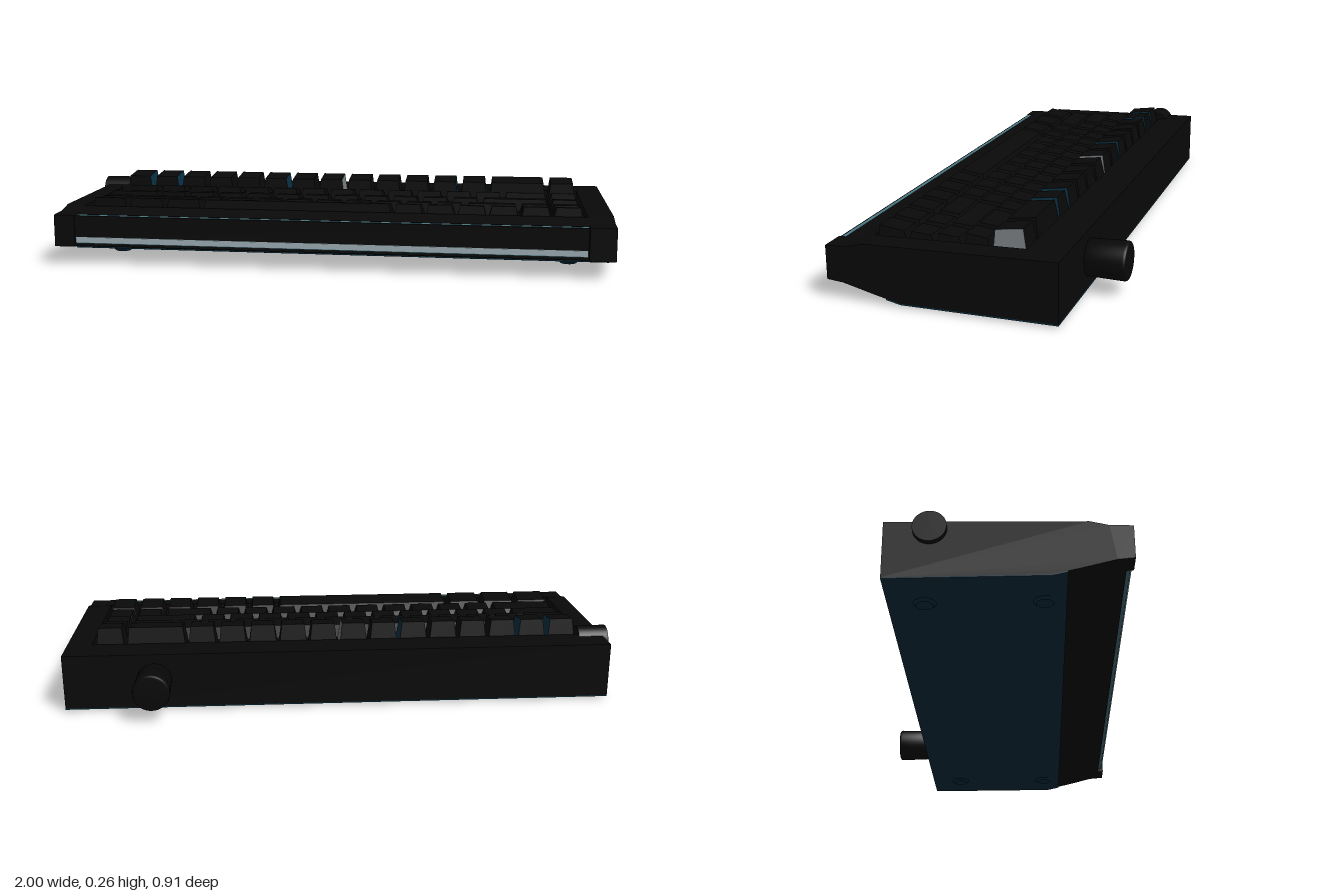
import * as THREE from 'three';

export function createModel() {
  const model = new THREE.Group();
  const mat = (name, color) => {
    const m = new THREE.MeshStandardMaterial({ color });
    m.name = name;
    return m;
  };
  const black = mat('matte black', 0x090909);
  const blue = mat('deep blue', 0x0a3245);
  const teal = mat('teal light', 0x4a7884);
  const pale = mat('pale light', 0xa4b6bf);
  const grey = mat('accent grey', 0x7c8284);

  const add = (name, geometry, material, x = 0, y = 0, z = 0, parent = model) => {
    const mesh = new THREE.Mesh(geometry, material);
    mesh.name = name;
    mesh.position.set(x, y, z);
    parent.add(mesh);
    return mesh;
  };

  // Extrudes a [z, y] side profile from x0 to x1
  const sweep = (points, x0, x1) => {
    const shape = new THREE.Shape(points.map(([z, y]) => new THREE.Vector2(z, y)));
    const g = new THREE.ExtrudeGeometry(shape, { depth: x1 - x0, bevelEnabled: false });
    g.rotateY(-Math.PI / 2);
    return g.translate(x1, 0, 0);
  };

  // Case: two full-height ends and a middle with a sunken key well
  const under = [[-0.32, 0.012], [0.2, 0.012], [0.28, 0.03], [0.4, 0.06]];
  const endProfile = [...under, [0.455, 0.065], [0.455, 0.18], [0.38, 0.183],
    [0.32, 0.198], [-0.32, 0.211]];
  const midProfile = [...under, [0.432, 0.064], [0.432, 0.18], [0.38, 0.183],
    [0.33, 0.195], [0.33, 0.175], [-0.19, 0.175], [-0.19, 0.208], [-0.32, 0.211]];
  add('caseRightEnd', sweep(endProfile, -0.98, -0.905), black);
  add('caseLeftEnd', sweep(endProfile, 0.91, 1), black);
  add('caseMiddle', sweep(midProfile, -0.905, 0.91), black);

  // Bottom plate follows the flat underside and the start of the slope
  add('bottomPlate', sweep([[-0.32, 0.008], [0.2, 0.008], [0.25, 0.019],
    [0.25, 0.0235], [0.2, 0.0125], [-0.32, 0.0125]], -0.98, 1), blue);

  // Low domed feet
  for (const x of [-0.82, 0.86]) {
    for (const z of [-0.2, 0.18]) {
      add('foot', new THREE.CylinderGeometry(0.042, 0.028, 0.012, 24), blue, x, 0.006, z);
    }
  }

  // Light bar in the front recess with a black cover and a pale lower strip
  add('lightBar', new THREE.BoxGeometry(1.81, 0.103, 0.014), teal, 0.002, 0.1275, 0.439);
  add('lightBarCover', new THREE.BoxGeometry(1.812, 0.077, 0.006), black, 0.002, 0.1395, 0.449);
  add('lightStrip', new THREE.BoxGeometry(1.81, 0.02, 0.004), pale, 0.002, 0.09, 0.448);

  // Rounded round plug on the back
  const plugProfile = [[0, 0], [0.0625, 0], [0.066, 0.125], [0.064, 0.132], [0.059, 0.135], [0, 0.135]]
    .map(([r, h]) => new THREE.Vector2(r, h));
  const plug = add('rearPlug', new THREE.LatheGeometry(plugProfile, 40), black, 0.678, 0.115, -0.32);
  plug.rotation.x = -Math.PI / 2;

  // Volume roller set into the right end
  const roller = add('volumeRoller', new THREE.CylinderGeometry(0.054, 0.054, 0.11, 36), black,
    -0.945, 0.181, -0.174);
  roller.rotation.z = Math.PI / 2;

  // Tapered keycap with a sloped top
  const base = 0.172;
  const keyGeometry = (w, d, front, back) => {
    const g = new THREE.BoxGeometry(w, 1, d, 1, 1, 1);
    const p = g.attributes.position;
    for (let i = 0; i < p.count; i++) {
      const x = p.getX(i), z = p.getZ(i);
      if (p.getY(i) < 0) p.setY(i, base);
      else {
        p.setXYZ(i, x - Math.sign(x) * 0.011, z > 0 ? front : back, z > 0 ? z - 0.004 : z + 0.017);
      }
    }
    g.computeVertexNormals();
    return g;
  };

  // Key rows: widths in key units, z span, front and back heights
  const ones = (n) => Array(n).fill(1);
  const rows = [
    { z: [-0.187, -0.073], top: [0.252, 0.264], keys: [...ones(13), 2, 1] },
    { z: [-0.068, 0.022], top: [0.229, 0.22], keys: [1.5, ...ones(12), 1.5, 1] },
    { z: [0.027, 0.117], top: [0.219, 0.213], keys: [1.75, ...ones(11), 2.25, 1] },
    { z: [0.122, 0.212], top: [0.215, 0.209], keys: [2.25, ...ones(10), 1.75, 1, 1] },
    { z: [0.217, 0.323], top: [0.225, 0.214], keys: [1.25, 1.25, 1.25, 6.25, ...ones(6)] },
  ];
  const unit = 0.1118;
  // Top-row keys with a coloured left flank
  const flanks = { 0: blue, 1: blue, 5: blue, 7: grey, 11: blue, 12: blue, 14: grey };
  rows.forEach((row, r) => {
    const group = new THREE.Group();
    group.name = `keyRow${r + 1}`;
    model.add(group);
    let x = -0.887;
    const [z0, z1] = row.z;
    row.keys.forEach((k, i) => {
      const w = k * unit;
      const flank = (r === 0 && flanks[i]) || black;
      add('key', keyGeometry(w - 0.006, z1 - z0, row.top[0], row.top[1]),
        [flank, black, black, black, black, black], x + w / 2, 0, (z0 + z1) / 2, group);
      x += w;
    });
  });

  return model;
}
